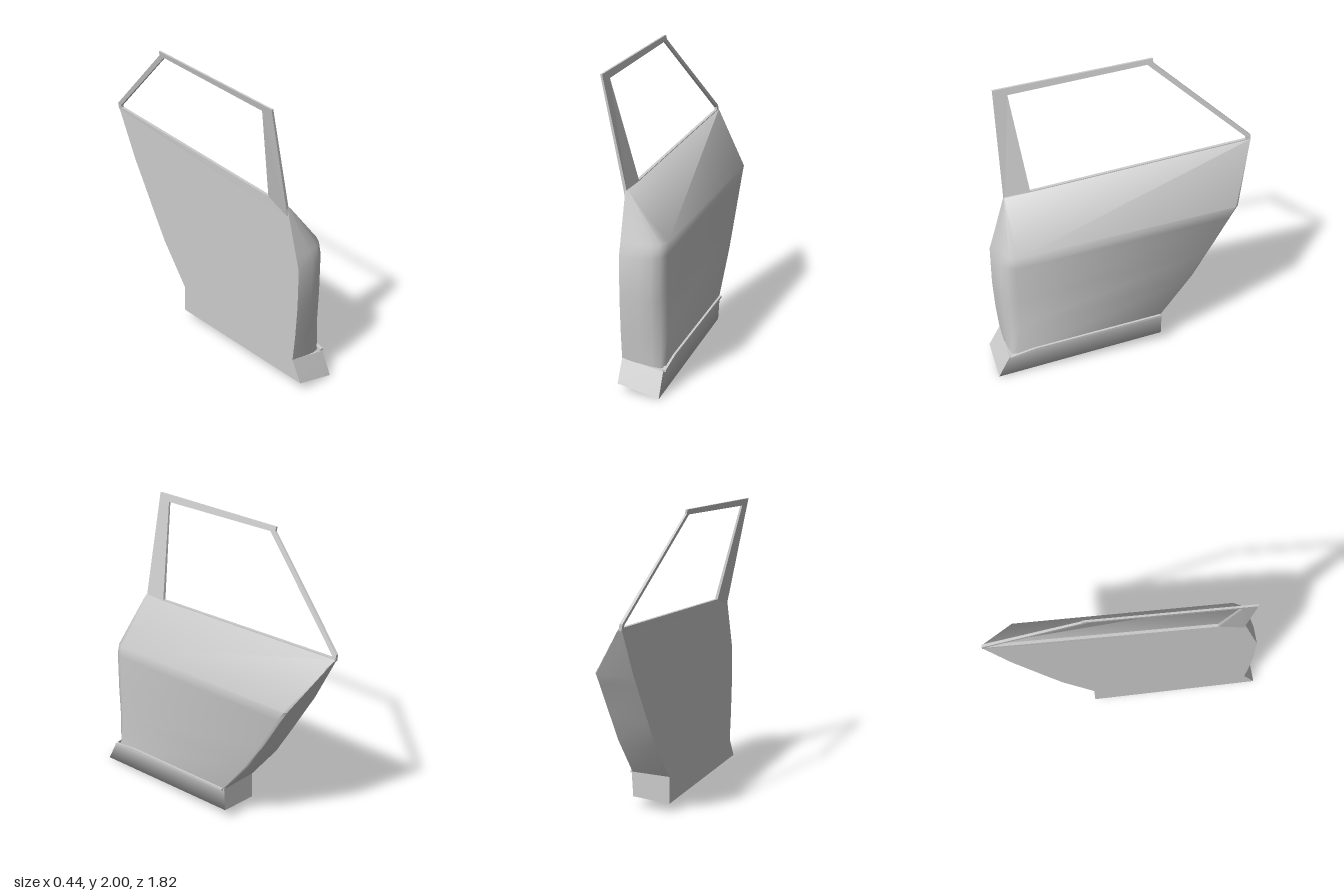
import * as THREE from 'three';
import { toCreasedNormals } from 'three/addons/utils/BufferGeometryUtils.js';

const INNER = -0.07;
const lerp = THREE.MathUtils.lerp;

// Horizontal section of the door: rear edge, rounded corner, skin, front edge.
// u runs across the thickness, r is the share of the corner rounding,
// e is 1 at the rear end and 0 at the front end.
const RING = [
  [0, 0, 1], [0.45, 0.04, 1], [0.72, 0.2, 1], [0.9, 0.5, 1], [1, 1, 1],
  [1, 0.2, 0], [0.95, 0, 0], [0, 0, 0],
];

function section({ xo, zr, yr, zf, yf, round = 0, lift = 0 }) {
  return RING.map(([u, r, e]) => {
    const z = e ? zr - r * round : zf + r * round;
    const y = lerp(yf, yr, (z - zf) / (zr - zf)) + (e ? lift * (1 - u) : 0);
    return [lerp(INNER, xo, u), y, z];
  });
}

// Skin a list of equally long rows of points
function loft(rows, closed, capTop) {
  const n = rows[0].length, index = [];
  for (let i = 0; i < rows.length - 1; i++) {
    for (let j = 0; j < (closed ? n : n - 1); j++) {
      const k = (j + 1) % n;
      const a = i * n + j, b = i * n + k, c = a + n, d = b + n;
      index.push(a, c, b, b, c, d);
    }
  }
  if (capTop) for (let j = 1; j < n - 1; j++) index.push(0, j, j + 1);
  const g = new THREE.BufferGeometry();
  g.setAttribute('position', new THREE.Float32BufferAttribute(rows.flat(2), 3));
  g.setIndex(index);
  g.computeVertexNormals();
  return g;
}

// Extrude an outline given as [z, y] points along x
function sidePlate(outline, hole, depth) {
  const toVec = (p) => new THREE.Vector2(-p[0], p[1]);
  const shape = new THREE.Shape(outline.map(toVec));
  if (hole) shape.holes.push(new THREE.Path(hole.map(toVec)));
  return new THREE.ExtrudeGeometry(shape, { depth, bevelEnabled: false }).rotateY(Math.PI / 2);
}

export function createModel() {
  const group = new THREE.Group();
  const material = new THREE.MeshStandardMaterial({ color: 0xcccccc, side: THREE.DoubleSide });
  const add = (name, geometry) => {
    const mesh = new THREE.Mesh(geometry, material);
    mesh.name = name;
    group.add(mesh);
    return mesh;
  };

  // Door body, from the belt line over the shoulder down to the trim line
  const bottomRow = { xo: 0.2, zr: 0.833, yr: 0.15, zf: -0.23, yf: 0.25, round: 0.05, lift: 0.05 };
  const levels = [
    { xo: -0.05, zr: 0.75, yr: 1.255, zf: -0.91, yf: 1.37 },
    { xo: 0.2, zr: 0.838, yr: 0.95, zf: -0.745, yf: 1.035, round: 0.1 },
    { xo: 0.2, zr: 0.862, yr: 0.87, zf: -0.7, yf: 0.96, round: 0.11 },
    { xo: 0.2, zr: 0.862, yr: 0.6, zf: -0.56, yf: 0.72, round: 0.11 },
    { xo: 0.2, zr: 0.85, yr: 0.38, zf: -0.44, yf: 0.52, round: 0.1 },
    bottomRow,
  ].map(section);
  add('doorBody', toCreasedNormals(loft(levels, true, true), 0.9));

  // Sill: skin rolling under into the bottom, plus inner wall and end caps
  const rear = [[INNER, 0.2, 0.833], [0.2, 0.15, 0.833], [0.2, 0, 0.91], [INNER, 0.06, 0.91]];
  const nose = [[INNER, 0.25, -0.23], [0.2, 0.25, -0.23], [0.19, 0.08, -0.23], [INNER, 0.065, -0.23]];
  const stations = [0, 0.15, 0.4, 0.7, 1].map((t) =>
    rear.map((p, i) => p.map((v, k) => lerp(v, nose[i][k], t))));
  add('sillSkin', loft([1, 2, 3].map((i) => stations.map((s) => s[i])), false));
  add('sillInnerWall', loft([3, 0].map((i) => stations.map((s) => s[i])), false));
  add('sillRearCap', loft([[rear[0], rear[1]], [rear[3], rear[2]]], false));
  add('sillFrontCap', loft([[nose[1], nose[0]], [nose[2], nose[3]]], false));

  // Trim strip along the lower edge of the skin
  const line = [[0.825, 0.145], [0.66, 0.178], [-0.22, 0.24]];
  const strip = [...line, ...line.map(([z, y]) => [z, y + 0.015]).reverse()];
  add('trimStrip', sidePlate(strip, null, 0.025)).position.x = 0.19;

  // Window frame: flat outline with an opening, leaning inwards above the belt
  const outline = [[0.75, 1.2], [0.75, 1.95], [-0.28, 2], [-0.28, 1.972], [-0.91, 1.4], [-0.91, 1.358]];
  const opening = [[0.58, 1.272], [0.66, 1.91], [-0.24, 1.965], [-0.88, 1.39], [-0.88, 1.374]];
  const frame = sidePlate(outline, opening, 0.02);
  const pos = frame.attributes.position;
  for (let i = 0; i < pos.count; i++) {
    const belt = 1.37 - (pos.getZ(i) + 0.91) * 0.067;
    const rise = Math.max(0, pos.getY(i) - belt);
    pos.setX(i, INNER + pos.getX(i) * (1 - 0.5 * rise) - 0.218 * rise);
  }
  frame.computeVertexNormals();
  add('windowFrame', frame);

  return group;
}
